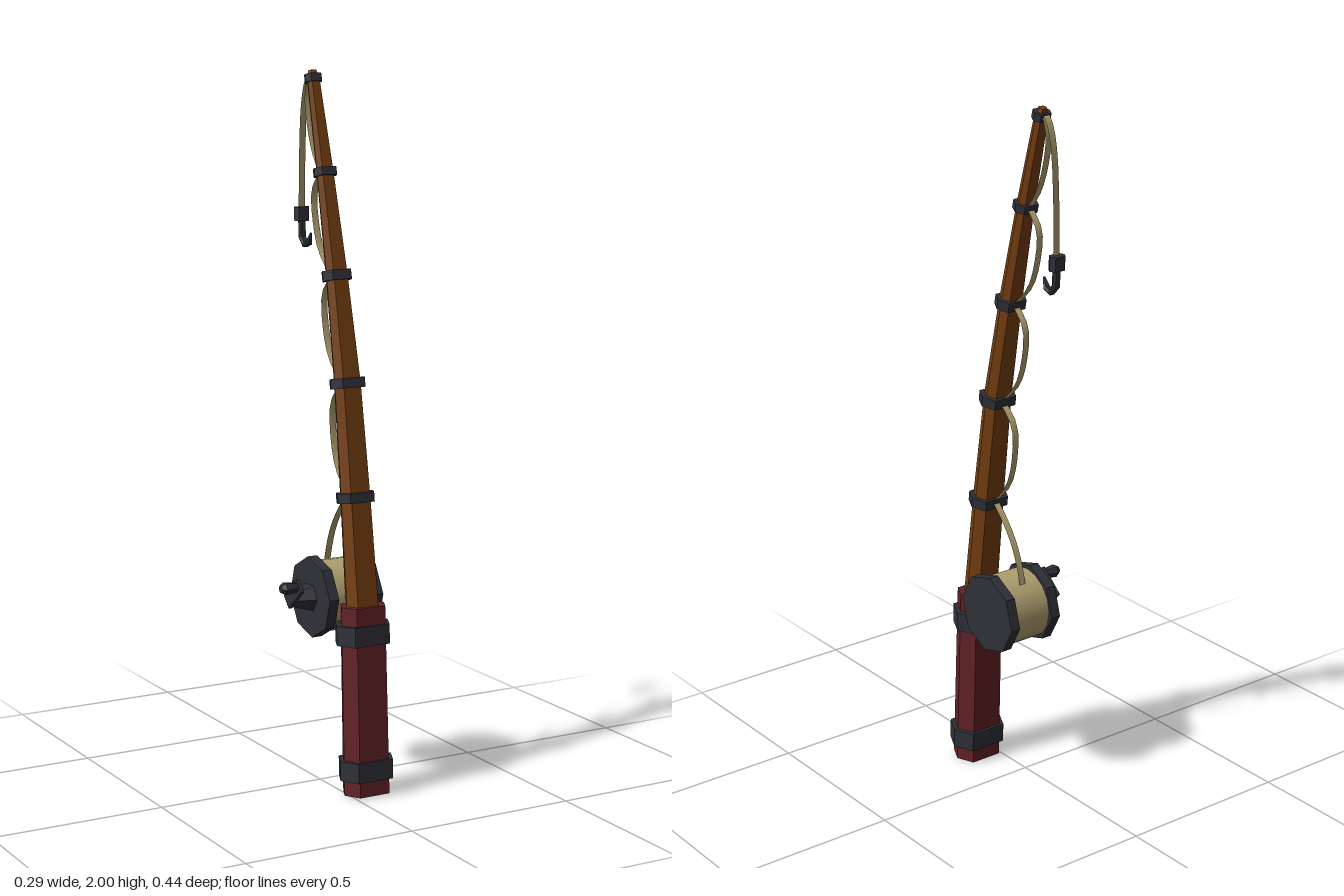
import * as THREE from 'three';

const X = 0.055; // rod centre line
const HEX = [[1, 0], [0.67, 1], [-0.67, 1], [-1, 0], [-0.67, -1], [0.67, -1]];

const wood = new THREE.MeshStandardMaterial({ color: 0x733d10 });
wood.name = 'wood';
const grip = new THREE.MeshStandardMaterial({ color: 0x622226 });
grip.name = 'gripRed';
const metal = new THREE.MeshStandardMaterial({ color: 0x2f3038 });
metal.name = 'darkMetal';
const cord = new THREE.MeshStandardMaterial({ color: 0xb0a070, side: THREE.DoubleSide });
cord.name = 'cord';

// Faceted hexagonal loft along a path in the side plane; sections are [y, z, halfX, halfZ]
function loft(sections) {
  const loops = sections.map(([y, z, hx, hz], i) => {
    const a = sections[Math.max(i - 1, 0)], b = sections[Math.min(i + 1, sections.length - 1)];
    const len = Math.hypot(b[0] - a[0], b[1] - a[1]);
    const ty = (b[0] - a[0]) / len, tz = (b[1] - a[1]) / len;
    return HEX.map(([u, v]) => [X + u * hx, y - tz * v * hz, z + ty * v * hz]);
  });
  const pos = [];
  const tri = (a, b, c) => pos.push(...a, ...b, ...c);
  for (let s = 0; s < loops.length - 1; s++) {
    for (let i = 0; i < 6; i++) {
      const j = (i + 1) % 6, lo = loops[s], hi = loops[s + 1];
      tri(lo[i], hi[i], lo[j]);
      tri(lo[j], hi[i], hi[j]);
    }
  }
  const first = loops[0], last = loops[loops.length - 1];
  for (let i = 1; i < 5; i++) {
    tri(first[0], first[i], first[i + 1]);
    tri(last[0], last[i + 1], last[i]);
  }
  const g = new THREE.BufferGeometry();
  g.setAttribute('position', new THREE.Float32BufferAttribute(pos, 3));
  g.computeVertexNormals();
  return g;
}

// Flat strip of line, wide along x, through [y, z] points
function ribbon(points, steps = 10) {
  const curve = new THREE.CatmullRomCurve3(points.map(([y, z]) => new THREE.Vector3(X, y, z)));
  const pos = [], index = [];
  curve.getPoints(steps).forEach((p, i) => {
    pos.push(p.x - 0.01, p.y, p.z, p.x + 0.01, p.y, p.z);
    if (i) {
      const k = i * 2;
      index.push(k - 2, k - 1, k, k - 1, k + 1, k);
    }
  });
  const g = new THREE.BufferGeometry();
  g.setAttribute('position', new THREE.Float32BufferAttribute(pos, 3));
  g.setIndex(index);
  g.computeVertexNormals();
  return g;
}

function faceted(geometry) {
  const g = geometry.toNonIndexed();
  g.computeVertexNormals();
  return g;
}

export function createModel() {
  const model = new THREE.Group();
  model.name = 'fishingRod';
  const add = (name, geometry, material, parent = model) => {
    const m = new THREE.Mesh(geometry, material);
    m.name = name;
    parent.add(m);
    return m;
  };
  // Short collar centred at y, z and square to the rod direction
  const collar = (name, y, z, hx, hz, height, slope) => {
    const c = Math.cos(slope) * height / 2, s = Math.sin(slope) * height / 2;
    add(name, loft([[y - c, z + s, hx, hz], [y + c, z - s, hx, hz]]), metal);
  };

  // Handle with two collars
  add('handleGrip', loft([[0.004, 0.166, 0.07, 0.048], [0.538, 0.143, 0.068, 0.045]]), grip);
  collar('lowerGripCollar', 0.076, 0.163, 0.082, 0.056, 0.056, 0.043);
  collar('upperGripCollar', 0.459, 0.1415, 0.082, 0.056, 0.056, 0.043);

  // Curved tapering rod
  const rod = [
    [0.5, 0.143, 0.049, 0.035], [0.835, 0.1, 0.045, 0.031], [1.148, 0.055, 0.04, 0.027],
    [1.44, -0.005, 0.032, 0.023], [1.72, -0.071, 0.025, 0.018], [1.975, -0.138, 0.018, 0.014],
    [1.996, -0.144, 0.012, 0.009],
  ];
  add('rod', loft(rod), wood);

  // Line guides around the rod
  const guides = [[0.057, 0.04], [0.053, 0.037], [0.044, 0.031], [0.034, 0.026], [0.025, 0.019]];
  guides.forEach(([hx, hz], i) => {
    const [y, z] = rod[i + 1], a = rod[i], b = rod[i + 2];
    const slope = Math.atan2(a[1] - b[1], b[0] - a[0]);
    collar('lineGuide' + (i + 1), y, z, hx, hz, i < 3 ? 0.028 : 0.023, slope);
  });

  // Slack line between guides
  [0.1, 0.092, 0.085, 0.052].forEach((bulge, i) => {
    const a = rod[i + 1], b = rod[i + 2], back = guides[i][1] * 0.8;
    const at = (t, out) => [a[0] + (b[0] - a[0]) * t, a[1] + (b[1] - a[1]) * t - out];
    add('slackLine' + (i + 1), ribbon([
      at(0, back), at(0.22, bulge * 0.85), at(0.5, bulge), at(0.8, bulge * 0.85), at(1, 0.018),
    ]), cord);
  });
  add('reelLine', ribbon([[0.835, 0.065], [0.8, 0.03], [0.74, -0.015], [0.68, -0.042], [0.615, -0.06]]), cord);
  add('hookLine', ribbon([[1.985, -0.15], [1.965, -0.17], [1.9, -0.19], [1.78, -0.2], [1.61, -0.204]]), cord);

  // Hook below its weight
  add('hookWeight', loft([[1.575, -0.204, 0.024, 0.0145], [1.615, -0.206, 0.024, 0.0145]]), metal);
  add('hook', loft([
    [1.58, -0.204, 0.011, 0.008], [1.53, -0.201, 0.011, 0.008], [1.51, -0.182, 0.011, 0.008],
    [1.517, -0.162, 0.01, 0.007], [1.545, -0.151, 0.003, 0.002],
  ]), metal);

  // Reel: spool, end plates and crank, all along x
  const reel = new THREE.Group();
  reel.name = 'reel';
  reel.position.set(0, 0.538, -0.006);
  model.add(reel);
  const alongX = (g, x) => g.rotateZ(Math.PI / 2).translate(x, 0, 0);
  add('spool', alongX(new THREE.CylinderGeometry(0.102, 0.102, 0.12, 16, 1, true), 0.056), cord, reel);
  [-0.015, 0.127].forEach((x, i) => {
    const plate = faceted(alongX(new THREE.CylinderGeometry(0.115, 0.115, 0.03, 8), x));
    add(i ? 'leftPlate' : 'rightPlate', plate, metal, reel).rotation.x = -0.11;
  });
  add('crankHub', faceted(alongX(new THREE.CylinderGeometry(0.023, 0.042, 0.06, 6), -0.058)), metal, reel);

  const arm = add('crankArm', new THREE.BoxGeometry(0.011, 0.042, 0.094), metal, reel);
  arm.position.set(-0.091, 0.021, 0.019);
  arm.rotation.x = -0.72;

  const knobProfile = [[0, 0], [0.014, 0], [0.019, 0.038], [0.011, 0.05], [0, 0.05]]
    .map(([r, h]) => new THREE.Vector2(r, h));
  const knob = add('crankKnob', faceted(alongX(new THREE.LatheGeometry(knobProfile, 6), -0.095)), metal, reel);
  knob.position.set(0, 0.045, 0.041);

  return model;
}
